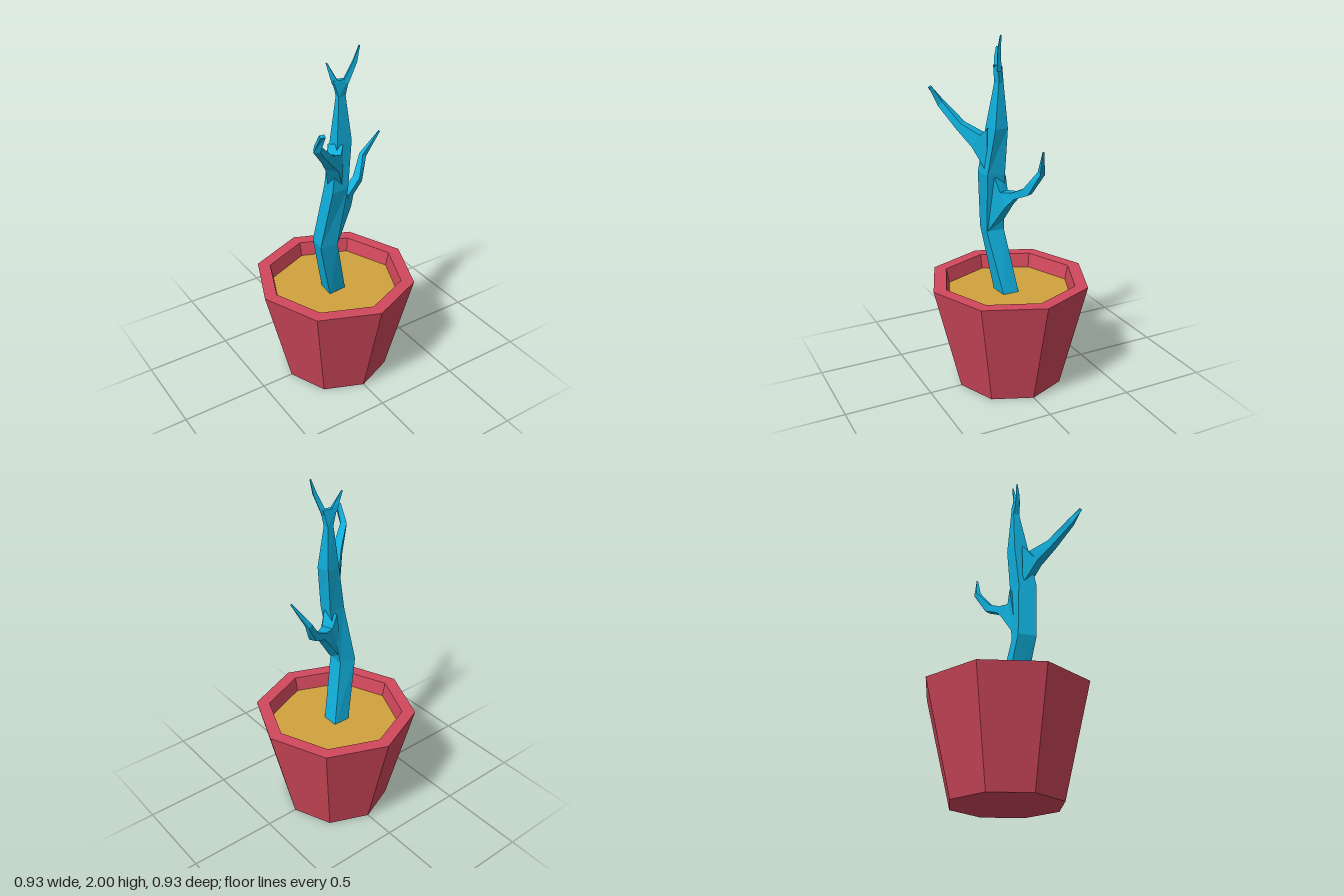
import * as THREE from 'three';

const V = (x, y, z) => new THREE.Vector3(x, y, z);
const material = (name, color) => {
  const m = new THREE.MeshStandardMaterial({ color, flatShading: true });
  m.name = name;
  return m;
};

// Skin four-cornered rings (counter-clockwise seen from the tip) and cap both ends
function loft(rings) {
  const pos = [];
  const quad = (a, b, c, d) => [a, b, c, a, c, d].forEach(p => pos.push(p.x, p.y, p.z));
  for (let i = 0; i < rings.length - 1; i++) {
    for (let k = 0; k < 4; k++) {
      const n = (k + 1) % 4;
      quad(rings[i][k], rings[i][n], rings[i + 1][n], rings[i + 1][k]);
    }
  }
  const [a, b, c, d] = rings[0];
  quad(d, c, b, a);
  quad(...rings[rings.length - 1]);
  const g = new THREE.BufferGeometry();
  g.setAttribute('position', new THREE.Float32BufferAttribute(pos, 3));
  g.computeVertexNormals();
  return g;
}

// Tapered branch through stations [x, y, z, width, height]; the root may face a set direction
function branch(stations, rootDir) {
  const pts = stations.map(s => V(s[0], s[1], s[2]));
  const last = pts.length - 1;
  return loft(stations.map((s, i) => {
    let t = pts[Math.min(i + 1, last)].clone().sub(pts[Math.max(i - 1, 0)]);
    if (i === 0 && rootDir) t = rootDir.clone();
    t.normalize();
    const side = V(0, 1, 0).cross(t).normalize();
    const up = t.clone().cross(side);
    return [[1, 1], [-1, 1], [-1, -1], [1, -1]].map(([a, b]) =>
      pts[i].clone().addScaledVector(side, a * s[3] / 2).addScaledVector(up, b * s[4] / 2));
  }));
}

export function createModel() {
  const model = new THREE.Group();
  model.name = 'pottedTree';
  const red = material('pot red', 0xd1485b);
  const ochre = material('soil ochre', 0xd0a23d);
  const blue = material('bark blue', 0x10aedb);
  const add = (name, geometry, mat) => {
    const mesh = new THREE.Mesh(geometry, mat);
    mesh.name = name;
    model.add(mesh);
  };

  // Octagonal pot with a thick rim
  const profile = [[0, 0], [0.31, 0], [0.463, 0.62], [0.388, 0.62], [0.37, 0.535]];
  add('pot', new THREE.LatheGeometry(profile.map(p => new THREE.Vector2(...p)), 8), red);

  // Soil surface
  const soil = new THREE.CircleGeometry(0.371, 8);
  soil.rotateX(-Math.PI / 2);
  soil.translate(0, 0.536, 0);
  add('soil', soil, ochre);

  // Crooked trunk: height, then four x, z corners
  const trunk = [
    [0.52, 0.04, 0.05, 0.04, -0.045, -0.06, -0.045, -0.07, 0.06],
    [0.9, -0.055, 0.112, -0.045, 0.01, -0.145, 0.0, -0.16, 0.105],
    [1.24, 0.0, 0.13, 0.01, 0.03, -0.09, 0.035, -0.105, 0.14],
    [1.5, 0.04, 0.1, 0.03, 0.022, -0.05, 0.03, -0.058, 0.112],
    [1.74, 0.02, 0.07, 0.016, 0.04, -0.02, 0.04, -0.025, 0.075],
    [1.83, 0.036, 0.078, 0.032, 0.055, -0.048, 0.045, -0.052, 0.068],
  ];
  add('trunk', loft(trunk.map(([y, ...c]) =>
    [0, 2, 4, 6].map(i => V(c[i], y, c[i + 1])))), blue);

  // Fork at the crown
  add('crownTwigRight', branch([
    [-0.034, 1.815, 0.058, 0.024, 0.034],
    [-0.055, 1.865, 0.05, 0.018, 0.02],
    [-0.073, 1.92, 0.036, 0.007, 0.007],
  ]), blue);
  add('crownTwigLeft', branch([
    [0.02, 1.81, 0.067, 0.024, 0.03],
    [0.062, 1.92, 0.088, 0.016, 0.02],
    [0.086, 1.998, 0.09, 0.006, 0.006],
  ]), blue);

  // Left branch, flaring into the trunk
  add('leftBranch', branch([
    [-0.035, 1.065, 0.06, 0.085, 0.33],
    [0.04, 1.11, 0.035, 0.065, 0.085],
    [0.088, 1.138, 0.008, 0.05, 0.038],
    [0.168, 1.178, -0.025, 0.042, 0.045],
    [0.235, 1.29, -0.072, 0.03, 0.028],
    [0.318, 1.428, -0.037, 0.008, 0.008],
  ], V(0.93, -0.17, -0.3)), blue);

  // Right branch, reaching forward
  add('rightBranch', branch([
    [-0.055, 1.37, 0.09, 0.08, 0.25],
    [-0.1, 1.42, 0.137, 0.07, 0.085],
    [-0.18, 1.49, 0.205, 0.05, 0.045],
    [-0.282, 1.6, 0.275, 0.035, 0.035],
    [-0.29, 1.695, 0.335, 0.028, 0.018],
  ], V(-0.7, 0, 0.7)), blue);

  return model;
}
